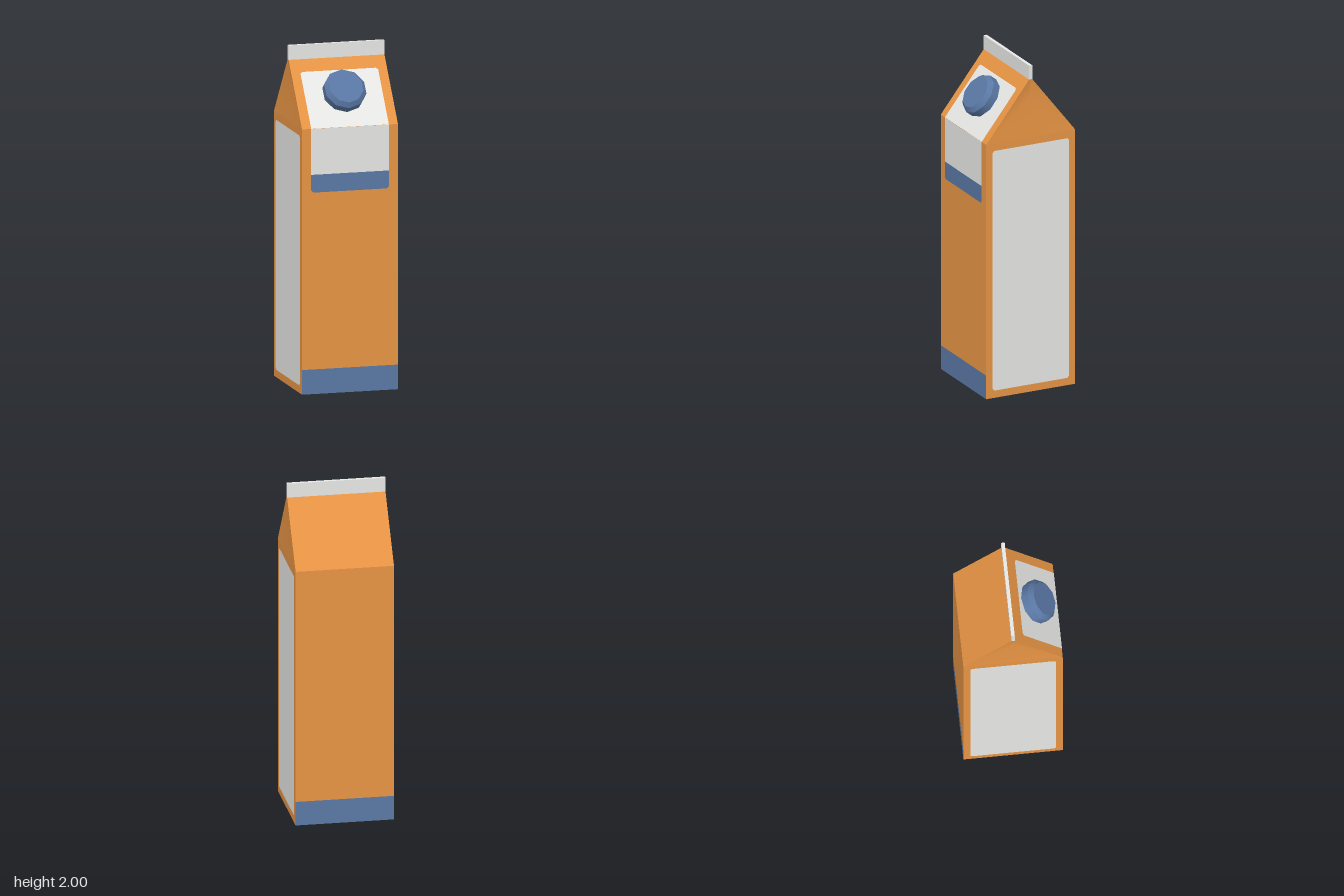
import * as THREE from 'three';

const W = 0.288;      // half width of the carton
const H = 1.56;       // height of the walls
const RIDGE = 1.915;  // height of the roof ridge
const T = 0.01;       // half thickness of the top seam
const BAND = 0.145;   // height of the base stripe
const SLOPE = Math.atan2(W - T, RIDGE - H); // lean of the roof from vertical

const material = (name, color) => {
  const m = new THREE.MeshStandardMaterial({ color });
  m.name = name;
  return m;
};

// Polygon mesh from corner points and triangle indices
function faceMesh(points, index) {
  const g = new THREE.BufferGeometry();
  g.setAttribute('position', new THREE.Float32BufferAttribute(points.flat(), 3));
  g.setIndex(index);
  g.computeVertexNormals();
  return g;
}
const quad = (...points) => faceMesh(points, [0, 1, 2, 0, 2, 3]);

// Flat label with optional clipped corners at the bottom and top
function label(halfWidth, y0, y1, bottom = 0, top = 0) {
  const s = new THREE.Shape();
  s.moveTo(-halfWidth + bottom, y0);
  s.lineTo(halfWidth - bottom, y0);
  s.lineTo(halfWidth, y0 + bottom);
  s.lineTo(halfWidth, y1 - top);
  s.lineTo(halfWidth - top, y1);
  s.lineTo(-halfWidth + top, y1);
  s.lineTo(-halfWidth, y1 - top);
  s.lineTo(-halfWidth, y0 + bottom);
  return new THREE.ShapeGeometry(s);
}

export function createModel() {
  const orange = material('orange card', 0xf09a47);
  const white = material('white card', 0xf0f0ee);
  const blue = material('blue', 0x5a78a5);

  const root = new THREE.Group();
  root.name = 'drinkCarton';
  const add = (name, geometry, mat, parent = root) => {
    const mesh = new THREE.Mesh(geometry, mat);
    mesh.name = name;
    parent.add(mesh);
    return mesh;
  };

  // Front and back: stripe, wall and roof slope
  for (const [side, turn] of [['front', 0], ['back', Math.PI]]) {
    const g = new THREE.Group();
    g.name = side;
    g.rotation.y = turn;
    root.add(g);
    add(side + 'BaseStripe', quad([-W, 0, W], [W, 0, W], [W, BAND, W], [-W, BAND, W]), blue, g);
    add(side + 'Wall', quad([-W, BAND, W], [W, BAND, W], [W, H, W], [-W, H, W]), orange, g);
    add(side + 'Roof', quad([-W, H, W], [W, H, W], [W, RIDGE, T], [-W, RIDGE, T]), orange, g);
  }

  // Left and right: wall, gently folded gable and tall label
  for (const [side, turn] of [['left', 0], ['right', Math.PI]]) {
    const g = new THREE.Group();
    g.name = side;
    g.rotation.y = turn;
    root.add(g);
    add(side + 'Wall', quad([W, 0, W], [W, 0, -W], [W, H, -W], [W, H, W]), orange, g);
    add(side + 'Gable', faceMesh(
      [[W, H, W], [W, H, -W], [W, RIDGE, -T], [W, RIDGE, T], [W - 0.02, 1.79, 0]],
      [0, 1, 4, 1, 2, 4, 2, 3, 4, 3, 0, 4]), orange, g);
    const panel = add(side + 'Label', label(0.248, 0.045, 1.515, 0.012, 0.012), white, g);
    panel.rotation.y = Math.PI / 2;
    panel.position.x = W + 0.0015;
  }

  add('base', quad([-W, 0, -W], [W, 0, -W], [W, 0, W], [-W, 0, W]), orange);

  // Sealed seam along the ridge
  const seam = add('topSeam', new THREE.BoxGeometry(2 * W, 2 - RIDGE, 2 * T), white);
  seam.position.y = (2 + RIDGE) / 2;

  // Front label running from the wall up onto the roof
  add('frontLabel', label(0.233, 1.29, H), white).position.z = W + 0.0015;
  add('frontLabelStripe', label(0.233, 1.185, 1.29, 0.012), blue).position.z = W + 0.0015;

  // Parts lying on the front roof slope
  const slope = new THREE.Group();
  slope.name = 'frontRoofDetails';
  slope.position.set(0, H, W);
  slope.rotation.x = -SLOPE;
  root.add(slope);
  add('roofLabel', label(0.233, 0, 0.368, 0, 0.012), white, slope).position.z = 0.0015;

  // Ten-sided screw cap with a bevelled rim
  const cap = new THREE.Group();
  cap.name = 'screwCap';
  cap.position.y = 0.22;
  cap.rotation.x = Math.PI / 2;
  slope.add(cap);
  add('capSide', new THREE.CylinderGeometry(0.126, 0.126, 0.05, 10, 1, true), blue, cap).position.y = 0.025;
  add('capTop', new THREE.CylinderGeometry(0.102, 0.126, 0.026, 10), blue, cap).position.y = 0.063;

  return root;
}
